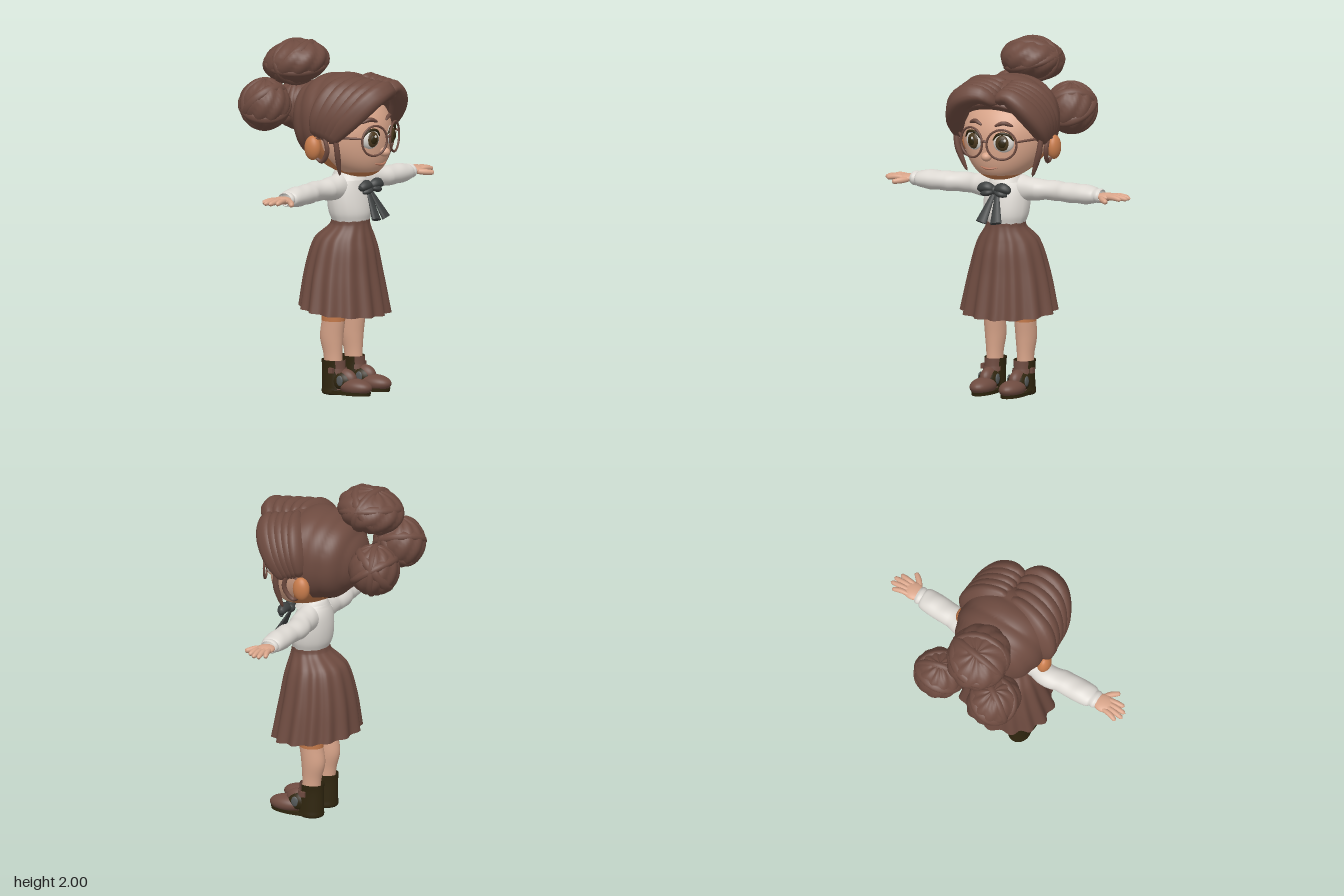
import * as THREE from 'three';
import { mergeVertices } from 'three/addons/utils/BufferGeometryUtils.js';

const V = (x, y, z) => new THREE.Vector3(x, y, z);
const mat = (name, color) => {
  const m = new THREE.MeshStandardMaterial({ color, side: THREE.DoubleSide });
  m.name = name;
  return m;
};

export function createModel() {
  const brown = mat('chestnut brown', 0x6e4b40), skin = mat('skin', 0xd9a58a), tan = mat('warm tan', 0xc87c4c);
  const white = mat('blouse white', 0xdcd8d2), charcoal = mat('charcoal', 0x3d4040), dark = mat('dark leather', 0x30260f);
  const iris = mat('iris brown', 0x4c3a20), grey = mat('grey', 0x565a5a), lip = mat('lip', 0xb9785f);
  const model = new THREE.Group();

  const add = (name, geo, m, parent = model) => {
    const mesh = new THREE.Mesh(geo, m);
    mesh.name = name;
    parent.add(mesh);
    return mesh;
  };
  const group = (name) => {
    const g = new THREE.Group();
    g.name = name;
    model.add(g);
    return g;
  };
  // Move every vertex by a rule, weld seams and smooth
  const shape = (geo, rule) => {
    const p = geo.attributes.position, v = V(0, 0, 0);
    for (let i = 0; i < p.count; i++) {
      v.fromBufferAttribute(p, i);
      rule(v, i);
      p.setXYZ(i, v.x, v.y, v.z);
    }
    geo.deleteAttribute('uv');
    geo.deleteAttribute('normal');
    const g = mergeVertices(geo, 1e-5);
    g.computeVertexNormals();
    return g;
  };
  // Ellipsoid with an optional rule; arc = phi and theta ranges
  const blob = (c, r, rule = () => {}, arc = [], seg = 32) =>
    shape(new THREE.SphereGeometry(1, seg, Math.round(seg * 0.7), ...arc), (v) => {
      rule(v);
      v.set(c[0] + v.x * r[0], c[1] + v.y * r[1], c[2] + v.z * r[2]);
    });
  // Smooth loft through rings [y, rx, rz, centreZ, centreX], first ring on top
  const loft = (rings, { seg = 32, rows = 16, start = 0, length = Math.PI * 2, rule = () => {} } = {}) => {
    const size = new THREE.CatmullRomCurve3(rings.map((r) => V(r[0], r[1], r[2])));
    const mid = new THREE.CatmullRomCurve3(rings.map((r) => V(r[4] || 0, 0, r[3])));
    return shape(new THREE.CylinderGeometry(1, 1, 1, seg, rows, true, start, length), (v) => {
      const t = Math.min(1, Math.max(0, 0.5 - v.y)), s = size.getPoint(t), c = mid.getPoint(t);
      const a = Math.atan2(v.x, v.z);
      v.set(c.x + v.x * s.y, s.x, c.z + v.z * s.z);
      rule(v, a, t, c);
    });
  };
  // Tapered, ridged strand along a path
  const strand = (pts, R, { end = 0.2, ridge = 0.07, n = 22, seg = 14, closed = false } = {}) => {
    const curve = new THREE.CatmullRomCurve3(pts.map((p) => V(...p)), closed);
    const geo = new THREE.TubeGeometry(curve, n, 1, seg, closed);
    const centres = Array.from({ length: n + 1 }, (_, i) => curve.getPointAt(i / n));
    return shape(geo, (v, k) => {
      const i = Math.floor(k / (seg + 1)), j = k % (seg + 1), t = i / n;
      let r = closed ? R : R * (end + (1 - end) * Math.pow(Math.max(0, Math.sin(Math.PI * t)), 0.6));
      if (!closed && (i === 0 || i === n)) r *= 0.05;
      r *= 1 + ridge * Math.cos((j / seg) * Math.PI * 8);
      v.sub(centres[i]).multiplyScalar(r).add(centres[i]);
    });
  };
  const blend = (a, b, t) => a.map((p, i) => p.map((c, k) => c + (b[i][k] - c) * t));

  // Head: cheeks taper to a chin pushed forward
  const headRule = (v) => {
    const ny = v.y;
    v.x *= 1 + 0.06 * ny;
    if (ny < 0) v.z += 0.4 * ny * ny;
  };
  const headAt = [0, 1.5, 0.13], headSize = [0.255, 0.25, 0.255];
  add('face', blob(headAt, headSize, headRule, [0, Math.PI, 0, Math.PI * 0.82], 48), skin);
  add('underChin', blob(headAt, headSize, headRule, [0, Math.PI, Math.PI * 0.82, Math.PI * 0.18], 32), tan);
  add('backOfHead', blob(headAt, headSize, headRule, [Math.PI, Math.PI], 32), tan);
  add('nose', blob([0, 1.405, 0.392], [0.03, 0.026, 0.033]), skin);
  add('neck', loft([[1.34, 0.06, 0.06, 0.14], [1.22, 0.06, 0.06, 0.13]]), tan);
  add('mouth', strand([[-0.055, 1.34, 0.362], [0, 1.333, 0.377], [0.055, 1.34, 0.362]], 0.006), lip);

  for (const s of [-1, 1]) {
    // Eyes, brows, ears and glasses
    const eye = group(s > 0 ? 'leftEye' : 'rightEye');
    add('eyeball', blob([0, 0, 0], [0.06, 0.056, 0.03]), white, eye);
    add('irisDisc', blob([-0.004 * s, 0, 0.016], [0.041, 0.045, 0.02]), iris, eye);
    add('pupil', blob([-0.004 * s, 0, 0.028], [0.024, 0.027, 0.012]), dark, eye);
    add('glint', blob([0.012, 0.018, 0.037], [0.008, 0.009, 0.004], undefined, [], 12), white, eye);
    add('lashes', strand([[-0.062, 0.012, 0.012], [-0.03, 0.05, 0.022], [0.03, 0.05, 0.022], [0.062, 0.012, 0.012]], 0.008), dark, eye);
    eye.position.set(0.092 * s, 1.488, 0.358);
    eye.rotation.y = 0.3 * s;
    add('eyebrow', strand([[0.04 * s, 1.582, 0.374], [0.09 * s, 1.6, 0.358], [0.14 * s, 1.582, 0.33]], 0.012), brown);
    add('ear', blob([0.272 * s, 1.435, 0.085], [0.038, 0.07, 0.05]), tan);
    const rim = add('glassesRim', new THREE.TorusGeometry(0.086, 0.0065, 8, 40), brown);
    rim.position.set(0.096 * s, 1.482, 0.393);
    rim.rotation.y = 0.33 * s;
    add('glassesTemple', strand([[0.175 * s, 1.5, 0.366], [0.25 * s, 1.505, 0.24], [0.275 * s, 1.49, 0.09]], 0.007, { end: 0.8 }), brown);

    // Sleeve, cuff and hand
    const out = (g) => g.rotateZ(-s * Math.PI / 2).translate(0, 1.188, 0);
    add('sleeve', out(loft([[0.09, 0.078, 0.07, 0.13], [0.2, 0.06, 0.068, 0.125], [0.36, 0.056, 0.068, 0.125],
      [0.5, 0.055, 0.07, 0.13], [0.56, 0.046, 0.062, 0.132], [0.575, 0.036, 0.048, 0.133]].map((r) => [s > 0 ? r[0] : r[0], ...r.slice(1)]).reverse(),
    { rows: 40, rule: (v, a) => { v.x *= 1 + 0.035 * Math.sin(v.y * 60 + a * 2); } })), white);
    add('cuff', out(loft([[0.605, 0.036, 0.046, 0.133], [0.59, 0.042, 0.054, 0.133], [0.565, 0.037, 0.048, 0.133]])), white);
    add('palm', blob([0.637 * s, 1.188, 0.136], [0.062, 0.022, 0.054]), skin);
    [[0.75, 0.082], [0.778, 0.115], [0.775, 0.148], [0.75, 0.182]].forEach(([x, z], i) =>
      add('finger', strand([[0.64 * s, 1.19, 0.103 + i * 0.022], [0.7 * s, 1.192, 0.097 + i * 0.026], [x * s, 1.184, z]],
        0.0155, { end: 0.6, ridge: 0, n: 14 }), skin));
    add('thumb', strand([[0.61 * s, 1.185, 0.16], [0.645 * s, 1.18, 0.205], [0.685 * s, 1.175, 0.24]], 0.017, { end: 0.6, ridge: 0 }), skin);

    // Leg
    const x = 0.098 * s;
    add('thigh', loft([[0.62, 0.075, 0.08, 0.11, x], [0.42, 0.061, 0.07, 0.104, x]]), tan);
    add('shin', loft([[0.42, 0.061, 0.07, 0.104, x], [0.32, 0.058, 0.07, 0.092, x], [0.23, 0.048, 0.057, 0.1, x], [0.16, 0.046, 0.053, 0.105, x]]), skin);

    // Ankle boot: brown front, dark back
    const bx = 0.093 * s, shaft = [[0.195, 0.062, 0.072, 0.102, bx], [0.15, 0.058, 0.072, 0.104, bx], [0.03, 0.06, 0.08, 0.112, bx]];
    add('bootFront', loft(shaft, { start: -0.9, length: 1.8 }), brown);
    add('bootBack', loft(shaft, { start: 0.9, length: Math.PI * 2 - 1.8 }), dark);
    const flat = (v) => { v.y = Math.max(v.y, -0.6); };
    add('bootToe', blob([bx, 0.05, 0.255], [0.067, 0.048, 0.108], flat), brown);
    add('bootInstep', blob([bx, 0.075, 0.175], [0.06, 0.065, 0.075], flat), dark);
    add('bootTongue', blob([bx, 0.088, 0.185], [0.045, 0.06, 0.075], flat), brown);
    for (const k of [-1, 1]) add('bootPatch', blob([bx + 0.056 * k, 0.085, 0.185], [0.008, 0.03, 0.022]), grey);
    add('sole', loft([[0.026, 0.066, 0.163, 0.196, bx], [0.006, 0.066, 0.16, 0.194, bx]], { rows: 2 }), dark);
    add('soleBottom', blob([bx, 0.012, 0.194], [0.066, 0.008, 0.16]), dark);
    add('heel', loft([[0.04, 0.062, 0.075, 0.107, bx], [0.002, 0.062, 0.072, 0.107, bx], [0, 0.001, 0.001, 0.107, bx]]), dark);
    add('bootStrap', loft([[0.15, 0.064, 0.078, 0.106, bx], [0.125, 0.066, 0.08, 0.108, bx]], { rows: 2, start: -1, length: 2 }), brown);
    add('bootBuckle', new THREE.BoxGeometry(0.018, 0.03, 0.03).translate(bx + 0.064 * s, 0.14, 0.13), brown);
  }
  add('glassesBridge', strand([[-0.02, 1.49, 0.418], [0, 1.5, 0.424], [0.02, 1.49, 0.418]], 0.007, { end: 0.8 }), brown);

  // Blouse and collar
  add('blouse', loft([[1.275, 0.05, 0.05, 0.13], [1.25, 0.09, 0.08, 0.13], [1.2, 0.128, 0.1, 0.132], [1.12, 0.137, 0.116, 0.14],
    [1.04, 0.13, 0.118, 0.15], [0.995, 0.114, 0.105, 0.155]], { rows: 24, rule: (v, a, t) => { v.x *= 1 + 0.02 * t * Math.sin(a * 11); } }), white);
  add('collar', loft([[1.285, 0.062, 0.062, 0.132], [1.275, 0.074, 0.076, 0.135], [1.23, 0.1, 0.102, 0.142]]), white);

  // Pleated skirt, front hem lower than the back
  add('skirt', loft([[1.005, 0.113, 0.105, 0.155], [0.97, 0.118, 0.113, 0.15], [0.88, 0.178, 0.17, 0.115], [0.7, 0.23, 0.21, 0.108], [0.47, 0.276, 0.243, 0.115]],
    { seg: 128, rows: 24, rule: (v, a, t, c) => {
      const f = 1 + 0.05 * t * Math.sin(a * 14 + 0.6 * Math.sin(a * 3));
      v.x *= f;
      v.z = c.z + (v.z - c.z) * f;
      v.y += t * t * (0.012 - 0.1 * (v.z - c.z)) - t * 0.004;
    } }), brown);

  // Ribbon bow
  const bow = group('bow');
  add('knot', blob([-0.005, 1.195, 0.285], [0.026, 0.026, 0.028]), charcoal, bow);
  for (const s of [-1, 1]) {
    add('bowLoop', strand([[0, 1.195, 0.285], [0.05 * s, 1.21, 0.3], [0.105 * s, 1.195, 0.295]], 0.03, { end: 0.3 }), charcoal, bow);
    add('bowFold', strand([[0, 1.19, 0.29], [0.04 * s, 1.18, 0.315], [0.085 * s, 1.17, 0.3]], 0.018), charcoal, bow);
    const tail = add('bowTail', new THREE.CylinderGeometry(0.012, 0.036, 0.19, 12), charcoal, bow);
    tail.scale.z = 0.45;
    tail.position.set(0.028 * s, 1.1, 0.325);
    tail.rotation.set(-0.5, 0, 0.2 * s);
  }

  // Hair cap with combed bands, cut back from the face
  const hair = group('hair');
  const capRule = (v) => {
    const f = 1 + 0.035 * Math.abs(Math.sin(v.z * 8 + v.y * 1.2));
    for (const k of ['x', 'y', 'z']) v[k] = Math.sign(v[k]) * Math.pow(Math.abs(v[k]), 0.9) * f;
    const y = 1.57 + v.y * 0.262;
    v.z = Math.min(v.z, (0.06 + Math.max(0, y - 1.45) * 1.2 - 0.1) / 0.275);
  };
  const cap = (arc) => blob([0, 1.57, 0.1], [0.265, 0.255, 0.275], capRule, arc, 80);
  add('hairCap', cap([0, Math.PI * 2, 0, Math.PI * 0.82]), brown, hair);
  add('nape', cap([0, Math.PI * 2, Math.PI * 0.82, Math.PI * 0.18]), dark, hair);

  // Swept fringe on both sides of the parting
  const sweeps = [
    [[[0.06, 1.71, 0.38], [-0.03, 1.765, 0.425], [-0.14, 1.735, 0.415], [-0.235, 1.61, 0.32], [-0.268, 1.47, 0.2]],
      [[0.04, 1.79, 0.2], [-0.06, 1.785, 0.2], [-0.19, 1.74, 0.17], [-0.262, 1.63, 0.13], [-0.272, 1.5, 0.1]], 0.066],
    [[[0.04, 1.72, 0.375], [0.11, 1.755, 0.37], [0.19, 1.7, 0.34], [0.255, 1.59, 0.27], [0.27, 1.47, 0.19]],
      [[0.04, 1.79, 0.2], [0.1, 1.785, 0.2], [0.19, 1.74, 0.17], [0.257, 1.63, 0.13], [0.268, 1.5, 0.1]], 0.06],
  ];
  for (const [front, back, r] of sweeps)
    for (let i = 0; i < 5; i++) add('fringeLock', strand(blend(front, back, i / 4), r, { end: 0.25, seg: 20 }), brown, hair);
  for (const s of [-1, 1]) {
    add('sideLock', strand([[0.275 * s, 1.56, 0.24], [0.262 * s, 1.43, 0.25], [0.232 * s, 1.34, 0.24], [0.208 * s, 1.28, 0.23]], 0.017), brown, hair);
    add('sideCurl', strand([[0.285 * s, 1.56, 0.15], [0.275 * s, 1.43, 0.19], [0.262 * s, 1.36, 0.14], [0.27 * s, 1.41, 0.075]], 0.014), brown, hair);
  }

  // Three coiled buns
  const bun = (name, c, r, tilt) => {
    const g = new THREE.Group();
    g.name = name;
    g.position.set(...c);
    g.rotation.set(...tilt);
    hair.add(g);
    add('coil', blob([0, 0, 0], r, (v) => {
      v.multiplyScalar(0.93 + 0.06 * Math.abs(Math.sin(Math.atan2(v.z, v.x) * 5 + v.y * 3)));
    }, [], 56), brown, g);
    for (let k = 0; k < 3; k++) {
      const q = new THREE.Euler(0.5 + k * 0.75, k * 1.1, 0.3);
      const ring = Array.from({ length: 14 }, (_, i) => {
        const a = (i / 14) * Math.PI * 2, p = V(Math.cos(a), 0, Math.sin(a)).applyEuler(q).multiplyScalar(0.82);
        return [p.x * r[0], p.y * r[1], p.z * r[2]];
      });
      add('wrap', strand(ring, 0.03, { closed: true, n: 40 }), brown, g);
    }
  };
  bun('topBun', [-0.02, 1.868, -0.215], [0.185, 0.128, 0.2], [-0.2, 0, 0]);
  bun('leftBun', [0.17, 1.585, -0.325], [0.15, 0.15, 0.15], [0, 0.4, 0]);
  bun('rightBun', [-0.185, 1.635, -0.315], [0.145, 0.15, 0.165], [0, -0.4, 0]);
  return model;
}
